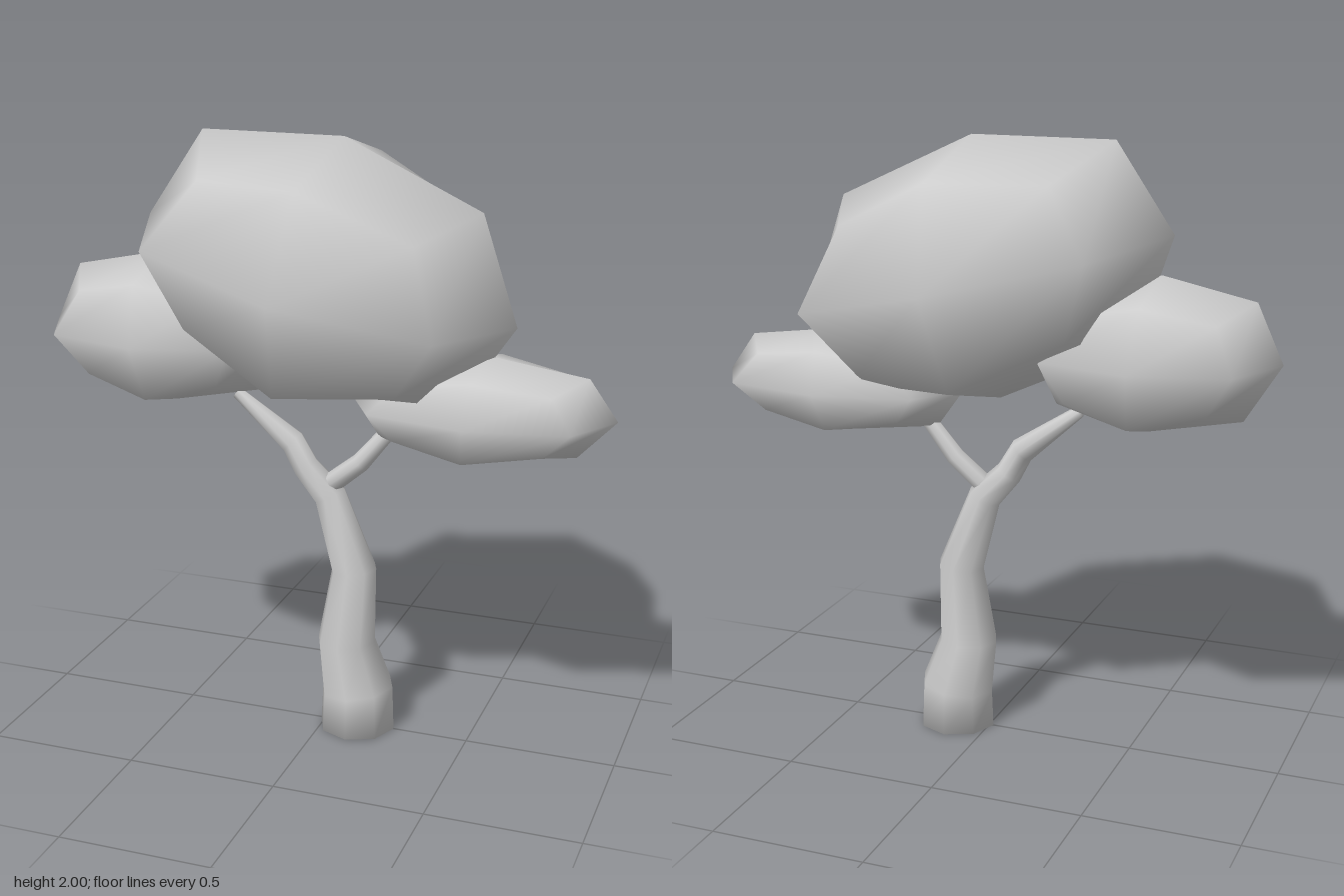
import * as THREE from 'three';
import { mergeVertices } from 'three/addons/utils/BufferGeometryUtils.js';

const material = new THREE.MeshStandardMaterial({ color: 0xcccccc });

// Rounded cube blob: centre, half sizes, and a shear that tilts its axes
function foliage(name, [cx, cy], [hx, hy, hz], dropX = 0, leanY = 0) {
  let g = new THREE.BoxGeometry(2, 2, 2, 2, 2, 2);
  g.deleteAttribute('normal');
  g.deleteAttribute('uv');
  g = mergeVertices(g);
  const p = g.attributes.position;
  const shrink = [0, 1, 0.75, 0.556]; // face centre, edge middle, corner
  for (let i = 0; i < p.count; i++) {
    const v = new THREE.Vector3().fromBufferAttribute(p, i);
    const axes = v.toArray().filter((c) => Math.abs(c) > 0.5).length;
    v.multiplyScalar(shrink[axes]);
    p.setXYZ(i, cx + v.x * hx + v.y * leanY, cy + v.y * hy + v.x * dropX, v.z * hz);
  }
  g.computeVertexNormals();
  const mesh = new THREE.Mesh(g, material);
  mesh.name = name;
  return mesh;
}

// Tapered, bent limb through [x, y, radius] rings, closed at both ends
function limb(name, rings, sides = 8) {
  const pos = [], idx = [];
  const last = rings.length - 1;
  rings.forEach(([x, y, r], k) => {
    const a = rings[Math.max(k - 1, 0)], b = rings[Math.min(k + 1, last)];
    const t = new THREE.Vector2(b[0] - a[0], b[1] - a[1]).normalize();
    for (let i = 0; i < sides; i++) {
      const ang = (i / sides) * Math.PI * 2;
      const u = r * Math.cos(ang);
      pos.push(x + u * t.y, y - u * t.x, r * Math.sin(ang));
      const n = (i + 1) % sides, c = k * sides;
      if (k < last) {
        idx.push(c + i, c + sides + i, c + n);
        idx.push(c + n, c + sides + i, c + sides + n);
      }
    }
  });
  // End caps
  const base = pos.length / 3, top = last * sides;
  pos.push(rings[0][0], rings[0][1], 0, rings[last][0], rings[last][1], 0);
  for (let i = 0; i < sides; i++) {
    const n = (i + 1) % sides;
    idx.push(base, i, n, base + 1, top + n, top + i);
  }
  const g = new THREE.BufferGeometry();
  g.setAttribute('position', new THREE.Float32BufferAttribute(pos, 3));
  g.setIndex(idx);
  g.computeVertexNormals();
  const mesh = new THREE.Mesh(g, material);
  mesh.name = name;
  return mesh;
}

export function createModel() {
  const tree = new THREE.Group();
  tree.name = 'tree';
  tree.add(
    // Trunk running on into the right-hand branch
    limb('trunk', [
      [0.115, 0, 0.13], [0.115, 0.14, 0.125], [0.075, 0.31, 0.1], [0.1, 0.57, 0.078],
      [0.015, 0.82, 0.056], [-0.07, 0.91, 0.045], [-0.115, 0.99, 0.043], [-0.31, 1.14, 0.02],
    ]),
    limb('leftBranch', [[0.005, 0.85, 0.035], [0.12, 0.945, 0.032], [0.23, 1.08, 0.025]]),
    // Foliage
    foliage('mainCrown', [0.01, 1.58], [0.615, 0.42, 0.55], -0.14, 0.05),
    foliage('rightCrown', [-0.55, 1.345], [0.405, 0.25, 0.31], 0, -0.02),
    foliage('leftCrown', [0.52, 1.172], [0.43, 0.172, 0.25], 0, 0.02),
  );
  return tree;
}
